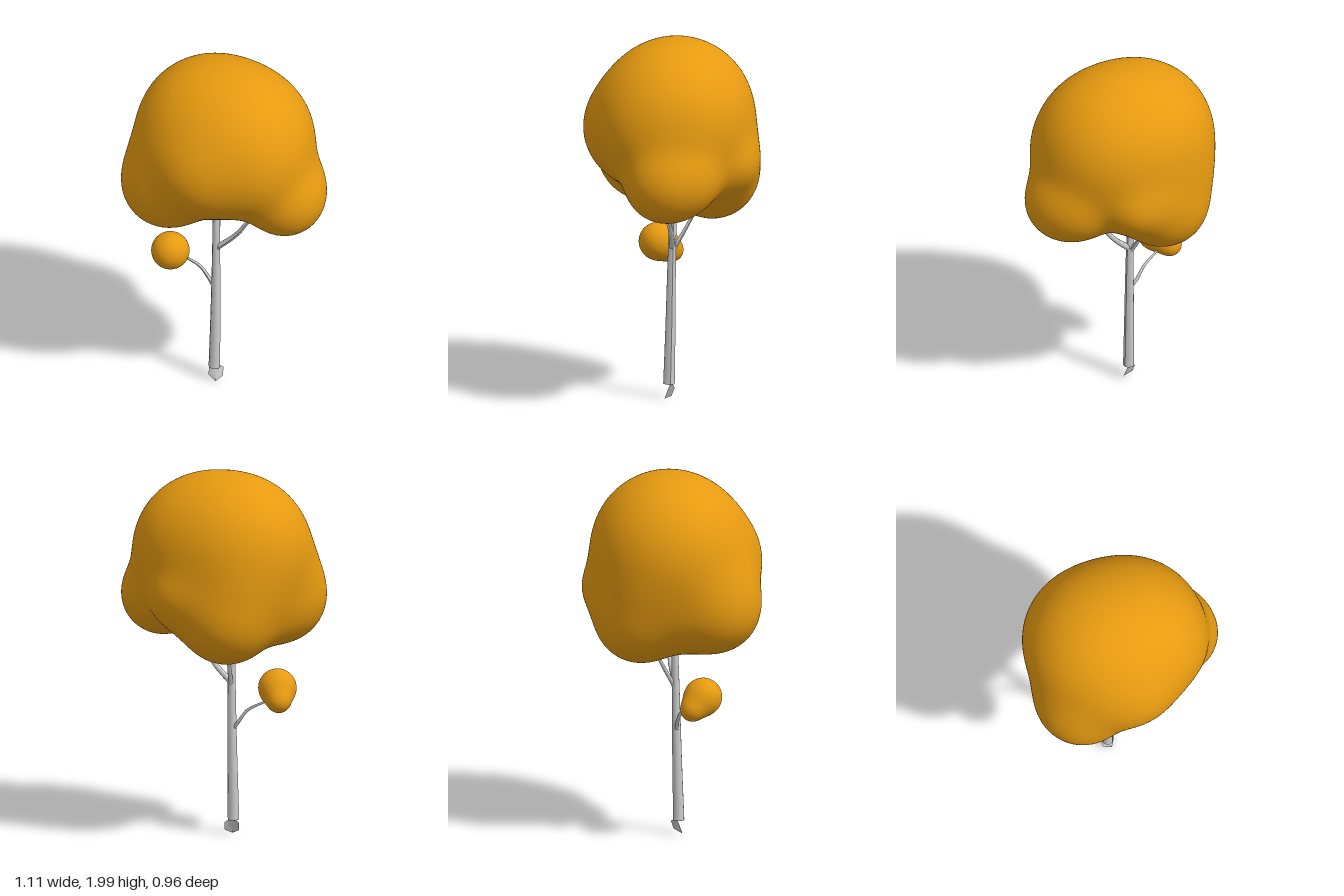
import * as THREE from 'three';
import { mergeVertices } from 'three/addons/utils/BufferGeometryUtils.js';

const leafMat = new THREE.MeshStandardMaterial({ color: 0xe69a10 });
const barkMat = new THREE.MeshStandardMaterial({ color: 0xcccccc, side: THREE.DoubleSide });
const v = (x, y, z) => new THREE.Vector3(x, y, z);

// Smooth union of spheres [x, y, z, radius], wrapped by shrinking a ball onto it
function blob(name, lobes, centre, reach, blend, detail) {
  const distance = (p) => -blend * Math.log(lobes.reduce((sum, [x, y, z, r]) =>
    sum + Math.exp((r - Math.hypot(p.x - x, p.y - y, p.z - z)) / blend), 0));
  let geo = new THREE.IcosahedronGeometry(1, detail);
  geo.deleteAttribute('uv');
  geo.deleteAttribute('normal');
  geo = mergeVertices(geo);
  const pos = geo.attributes.position;
  const dir = v(0, 0, 0), p = v(0, 0, 0);
  for (let i = 0; i < pos.count; i++) {
    dir.fromBufferAttribute(pos, i).normalize();
    let t = reach;
    for (let step = 0; step < 60; step++) {
      t -= distance(p.copy(centre).addScaledVector(dir, t));
    }
    p.copy(centre).addScaledVector(dir, t);
    pos.setXYZ(i, p.x, p.y, p.z);
  }
  geo.computeVertexNormals();
  const mesh = new THREE.Mesh(geo, leafMat);
  mesh.name = name;
  return mesh;
}

// Tube along a curve whose radius runs from r0 to r1
function limb(name, points, r0, r1, sides = 8) {
  const curve = new THREE.CatmullRomCurve3(points.map((p) => v(...p)));
  const rows = 16;
  const geo = new THREE.TubeGeometry(curve, rows, r0, sides);
  const pos = geo.attributes.position;
  const p = v(0, 0, 0);
  for (let i = 0; i < pos.count; i++) {
    const t = Math.floor(i / (sides + 1)) / rows;
    const c = curve.getPointAt(t);
    p.fromBufferAttribute(pos, i).sub(c).multiplyScalar(1 + (r1 / r0 - 1) * t).add(c);
    pos.setXYZ(i, p.x, p.y, p.z);
  }
  geo.computeVertexNormals();
  const mesh = new THREE.Mesh(geo, barkMat);
  mesh.name = name;
  return mesh;
}

export function createModel() {
  const tree = new THREE.Group();
  tree.name = 'tree';

  // Crown: dome with drooping lobes that merge softly into it
  tree.add(blob('crown', [
    [-0.08, 1.575, -0.04, 0.4], [0.08, 1.565, 0.035, 0.4], // dome
    [-0.305, 1.295, 0.08, 0.24], [-0.26, 1.42, 0.06, 0.23], // right lobe and its shoulder
    [0.335, 1.285, 0.145, 0.204], [0.335, 1.31, 0.04, 0.178], // left lobe
    [-0.05, 1.225, -0.23, 0.235], [-0.1, 1.4, -0.19, 0.24], // back lobe and its shoulder
    [-0.2, 1.27, -0.07, 0.19],                            // web between back and right lobes
    [0.1, 1.34, -0.21, 0.2], [0.23, 1.35, -0.245, 0.115], // small back bump
    [-0.09, 1.5, 0.19, 0.268], [0.17, 1.5, 0.18, 0.21],   // front bulge
  ], v(0, 1.45, 0.02), 0.9, 0.046, 28));

  // Small leaf ball on the low branch
  tree.add(blob('leafBall', [
    [-0.297, 0.81, 0.012, 0.102], [-0.315, 0.75, -0.073, 0.057],
  ], v(-0.3, 0.8, -0.008), 0.25, 0.026, 14));

  // Trunk and branches
  tree.add(limb('trunk',
    [[-0.06, 0.08, 0.013], [-0.055, 0.4, 0.006], [-0.052, 0.75, 0], [-0.052, 1.1, -0.01]],
    0.031, 0.018, 10));
  tree.add(limb('leftBranch',
    [[-0.045, 0.84, 0], [0.035, 0.92, 0.025], [0.08, 0.98, 0.045], [0.13, 1.055, 0.055], [0.19, 1.11, 0.07], [0.29, 1.17, 0.09]],
    0.017, 0.006));
  tree.add(limb('leftTwig', [[0.13, 1.045, 0.055], [0.11, 1.085, 0.045], [0.12, 1.18, 0.01]], 0.009, 0.004, 6));
  tree.add(limb('backBranch',
    [[-0.05, 0.81, 0], [-0.048, 0.89, -0.05], [-0.047, 1.01, -0.12], [-0.045, 1.1, -0.17]], 0.014, 0.006));
  tree.add(limb('lowBranch',
    [[-0.06, 0.58, 0], [-0.095, 0.63, -0.02], [-0.14, 0.69, -0.03], [-0.2, 0.725, -0.04], [-0.28, 0.76, -0.05]],
    0.012, 0.005, 6));

  // Pointed flap at the foot of the trunk: a hexagon leaning back and folded along its middle
  const footGeo = new THREE.CircleGeometry(0.045, 6, -Math.PI / 2);
  footGeo.translate(-0.052, 0.045, 0);
  const pos = footGeo.attributes.position;
  for (let i = 0; i < pos.count; i++) {
    pos.setZ(i, 0.04 - 0.4 * pos.getY(i) - 0.5 * Math.abs(pos.getX(i) + 0.052));
  }
  footGeo.computeVertexNormals();
  const foot = new THREE.Mesh(footGeo, barkMat);
  foot.name = 'trunkFoot';
  tree.add(foot);

  return tree;
}
